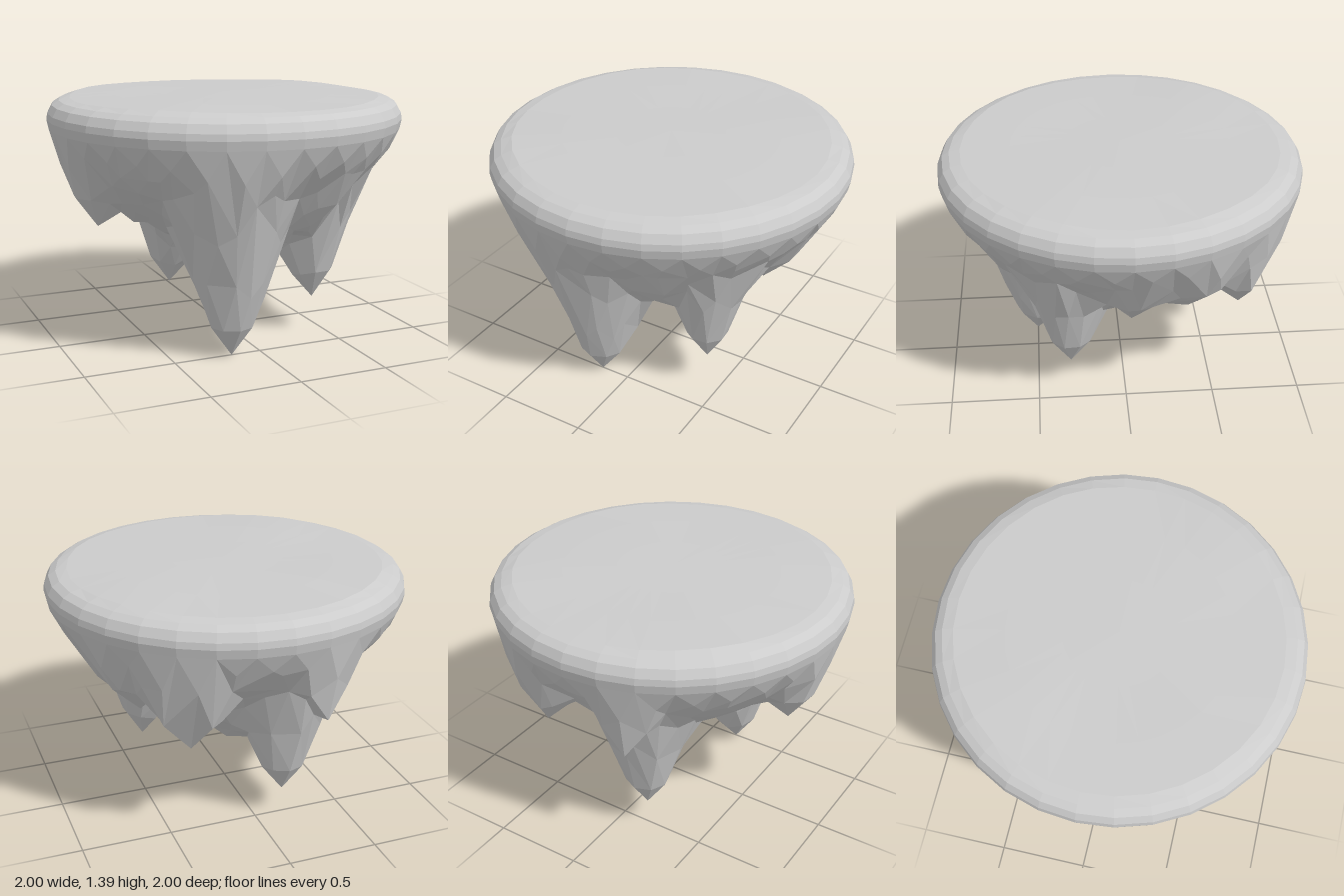
import * as THREE from 'three';

const SIDES = 32, RIM_R = 0.99, RIM_Y = 1.2;

// hanging spikes and blunt lumps: x, tip height, z, width
const SPIKES = [
  [-0.17, 0.0, 0.5, 1], [0.42, 0.21, 0.31, 0.95], [-0.16, 0.15, -0.5, 1],
  [-0.26, 0.73, -0.85, 1], [-0.76, 0.67, 0, 1.1], [-0.56, 0.68, 0.03, 1.6],
  // shelf running round the left and back
  [0.42, 0.58, -0.63, 1.3], [0.6, 0.7, -0.32, 1.5], [0.59, 0.62, -0.02, 1.4],
  // saddle between the two front spikes, and the middle of the belly
  [0.14, 0.56, 0.44, 1.6], [0.27, 0.66, 0.54, 1.4], [0.1, 0.43, -0.3, 1.6],
];
const SPIKE_PROFILE = [[0, 0], [0.14, 0.2], [0.24, 0.55], [0.32, 0.8], [0.4, 1], [0.55, 1.2], [3, 3]];
const BASE_PROFILE = [[0, 0.5], [0.2, 0.53], [0.4, 0.61], [0.6, 0.76], [0.8, 0.93], [0.9, 1.04], [1.2, 1.45]];

function lookUp(table, v) {
  let i = 1;
  while (i < table.length - 1 && table[i][0] < v) i++;
  const [a, b] = [table[i - 1], table[i]];
  return a[1] + (b[1] - a[1]) * (v - a[0]) / (b[0] - a[0]);
}

function softMin(a, b, k) {
  const h = Math.max(0, k - Math.abs(a - b)) / k;
  return Math.min(a, b) - h * h * k * 0.25;
}

// height of the rocky underside above any point of the disc
function undersideHeight(x, z) {
  const r = Math.hypot(x, z);
  let y = lookUp(BASE_PROFILE, r);
  for (const [sx, sy, sz, w] of SPIKES) {
    const dx = x - sx, dz = z - sz, d = Math.hypot(dx, dz);
    // slopes facing the middle are gentler
    const inward = d > 0 ? Math.max(0, -(dx * sx + dz * sz) / (d * Math.hypot(sx, sz))) : 0;
    const s = sy + lookUp(SPIKE_PROFILE, d * (1 - 0.25 * inward) / w);
    y = d < 0.02 ? Math.min(y, s) : softMin(y, s, 0.08);
  }
  return Math.min(RIM_Y, Math.max(y, RIM_Y - 4.7 * (RIM_R - r), 0));
}

function seeded(seed) {
  return () => (seed = (seed * 16807) % 2147483647) / 2147483647;
}

// scattered points: rim, spike tips, rings round the spikes, then filling
function scatterPoints() {
  const rand = seeded(71), pts = [];
  const add = (x, z, gap) => {
    if (Math.hypot(x, z) > RIM_R - 0.025) return;
    if (pts.every(p => Math.hypot(p[0] - x, p[1] - z) > gap)) pts.push([x, z]);
  };
  const ring = (r, turn) => {
    for (let i = 0; i < SIDES; i++) {
      const a = (i + turn) / SIDES * Math.PI * 2;
      pts.push([r * Math.sin(a), r * Math.cos(a)]);
    }
  };
  ring(RIM_R, 0);
  ring(0.945, 0.5);
  for (const s of SPIKES) add(s[0], s[2], 0.01);
  for (const d of [0.12, 0.21, 0.3]) {
    for (const [sx, , sz, w] of SPIKES) {
      const turn = rand() * 6;
      for (let i = 0; i < 8; i++) {
        const a = turn + i / 8 * Math.PI * 2;
        add(sx + Math.sin(a) * d * w, sz + Math.cos(a) * d * w, 0.06);
      }
    }
  }
  for (const r of [0.88, 0.8, 0.7, 0.6, 0.5, 0.4, 0.3, 0.2, 0.1, 0]) {
    for (let i = 0; i < SIDES; i++) {
      const a = (i + rand()) / SIDES * Math.PI * 2;
      add(r * Math.sin(a), r * Math.cos(a), 0.065);
    }
  }
  return pts;
}

// Delaunay triangulation by inserting one point after another
function triangulate(pts) {
  const n = pts.length, rand = seeded(5);
  const p = pts.map(([x, z]) => [x + (rand() - 0.5) * 1e-5, z + (rand() - 0.5) * 1e-5]);
  p.push([-1000, -1000], [1000, -1000], [0, 1500]);
  const withCircle = (a, b, c) => {
    const [ax, ay] = p[a], bx = p[b][0] - ax, by = p[b][1] - ay, cx = p[c][0] - ax, cy = p[c][1] - ay;
    const D = 2 * (bx * cy - by * cx), B = bx * bx + by * by, C = cx * cx + cy * cy;
    const ux = (cy * B - by * C) / D, uy = (bx * C - cx * B) / D;
    return { v: [a, b, c], x: ax + ux, y: ay + uy, rr: ux * ux + uy * uy };
  };
  let tris = [withCircle(n, n + 1, n + 2)];
  for (let i = 0; i < n; i++) {
    const edges = new Map(), keep = [];
    for (const t of tris) {
      if ((p[i][0] - t.x) ** 2 + (p[i][1] - t.y) ** 2 >= t.rr) { keep.push(t); continue; }
      for (let k = 0; k < 3; k++) {
        const a = t.v[k], b = t.v[(k + 1) % 3], key = Math.min(a, b) + '_' + Math.max(a, b);
        if (edges.has(key)) edges.delete(key); else edges.set(key, [a, b]);
      }
    }
    for (const [a, b] of edges.values()) keep.push(withCircle(a, b, i));
    tris = keep;
  }
  return tris.map(t => t.v).filter(v => v.every(i => i < n));
}

function buildUnderside() {
  const pts = scatterPoints(), index = [];
  for (const [a, b, c] of triangulate(pts)) {
    const [A, B, C] = [pts[a], pts[b], pts[c]];
    const up = (B[1] - A[1]) * (C[0] - A[0]) - (B[0] - A[0]) * (C[1] - A[1]);
    if (up < 0) index.push(a, b, c); else index.push(a, c, b);
  }
  const pos = pts.flatMap(([x, z], i) => [x, i < SIDES ? RIM_Y : undersideHeight(x, z), z]);
  const geo = new THREE.BufferGeometry();
  geo.setAttribute('position', new THREE.Float32BufferAttribute(pos, 3));
  geo.setIndex(index);
  geo.computeVertexNormals();
  return geo;
}

// rounded rim and gently uneven plateau
function buildPlateau() {
  const profile = [[RIM_R, RIM_Y], [1, 1.25], [0.995, 1.285], [0.97, 1.33], [0.93, 1.355], [0.87, 1.37],
    [0.6, 1.38], [0.3, 1.38], [0, 1.38]].map(q => new THREE.Vector2(...q));
  const geo = new THREE.LatheGeometry(profile, SIDES);
  const pos = geo.attributes.position;
  for (let i = 0; i < pos.count; i++) {
    const x = pos.getX(i), z = pos.getZ(i);
    if (Math.hypot(x, z) < 0.9) pos.setY(i, pos.getY(i) + 0.007 * Math.sin(4 * x + 1) * Math.cos(5 * z));
  }
  geo.computeVertexNormals();
  return geo;
}

export function createModel() {
  const group = new THREE.Group();
  group.name = 'floatingIsland';
  const rock = new THREE.MeshStandardMaterial({ color: 0xcccccc, flatShading: true });
  const parts = { plateau: buildPlateau(), rockyUnderside: buildUnderside() };
  for (const [name, geo] of Object.entries(parts)) {
    const mesh = new THREE.Mesh(geo, rock);
    mesh.name = name;
    group.add(mesh);
  }
  return group;
}
